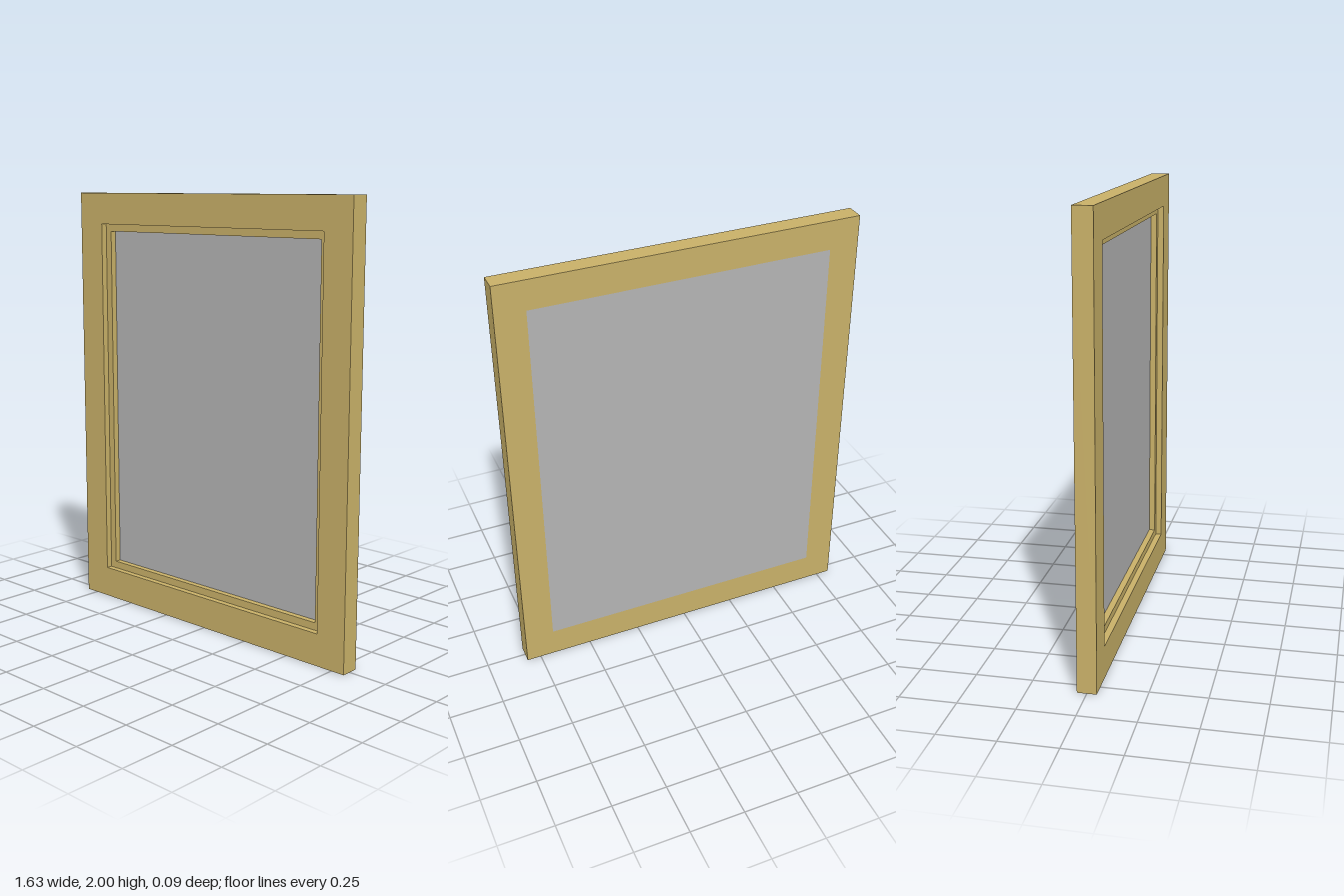
import * as THREE from 'three';

const HALF_W = 0.816, HALF_H = 1, HALF_D = 0.0425;
const LEDGE_Z = 0.014, PANEL_Z = -0.014;
const STEP = 0.146, OPENING = 0.18, REBATE = 0.135; // insets from the outer edge

// Sweeps a closed [inset, z] profile around the rectangle with mitred corners
function mitredFrame(profile) {
  const corners = [[-1, -1], [1, -1], [1, 1], [-1, 1]];
  const at = ([inset, z], [sx, sy]) =>
    [sx * (HALF_W - inset), HALF_H + sy * (HALF_H - inset), z];
  const positions = [];
  corners.forEach((c0, i) => {
    const c1 = corners[(i + 1) % 4];
    profile.forEach((p, j) => {
      const q = profile[(j + 1) % profile.length];
      const a = at(p, c0), b = at(p, c1), c = at(q, c1), d = at(q, c0);
      positions.push(...a, ...b, ...c, ...a, ...c, ...d);
    });
  });
  const geometry = new THREE.BufferGeometry();
  geometry.setAttribute('position', new THREE.Float32BufferAttribute(positions, 3));
  geometry.computeVertexNormals();
  return geometry;
}

export function createModel() {
  const group = new THREE.Group();
  group.name = 'pictureFrame';
  const wood = new THREE.MeshStandardMaterial({ name: 'paleWood', color: 0xc8b068 });
  const grey = new THREE.MeshStandardMaterial({ name: 'greyPanel', color: 0xb3b3b3 });

  // Moulding with a stepped front opening and a rear rebate for the panel
  const frame = new THREE.Mesh(mitredFrame([
    [0, HALF_D], [STEP, HALF_D], [STEP, LEDGE_Z], [OPENING, LEDGE_Z],
    [OPENING, PANEL_Z], [REBATE, PANEL_Z], [REBATE, -HALF_D], [0, -HALF_D],
  ]), wood);
  frame.name = 'frame';

  // Panel set into the rebate, flush with the back
  const depth = PANEL_Z + HALF_D;
  const panel = new THREE.Mesh(
    new THREE.BoxGeometry(2 * (HALF_W - REBATE), 2 * (HALF_H - REBATE), depth), grey);
  panel.name = 'panel';
  panel.position.set(0, HALF_H, PANEL_Z - depth / 2);

  group.add(frame, panel);
  return group;
}
